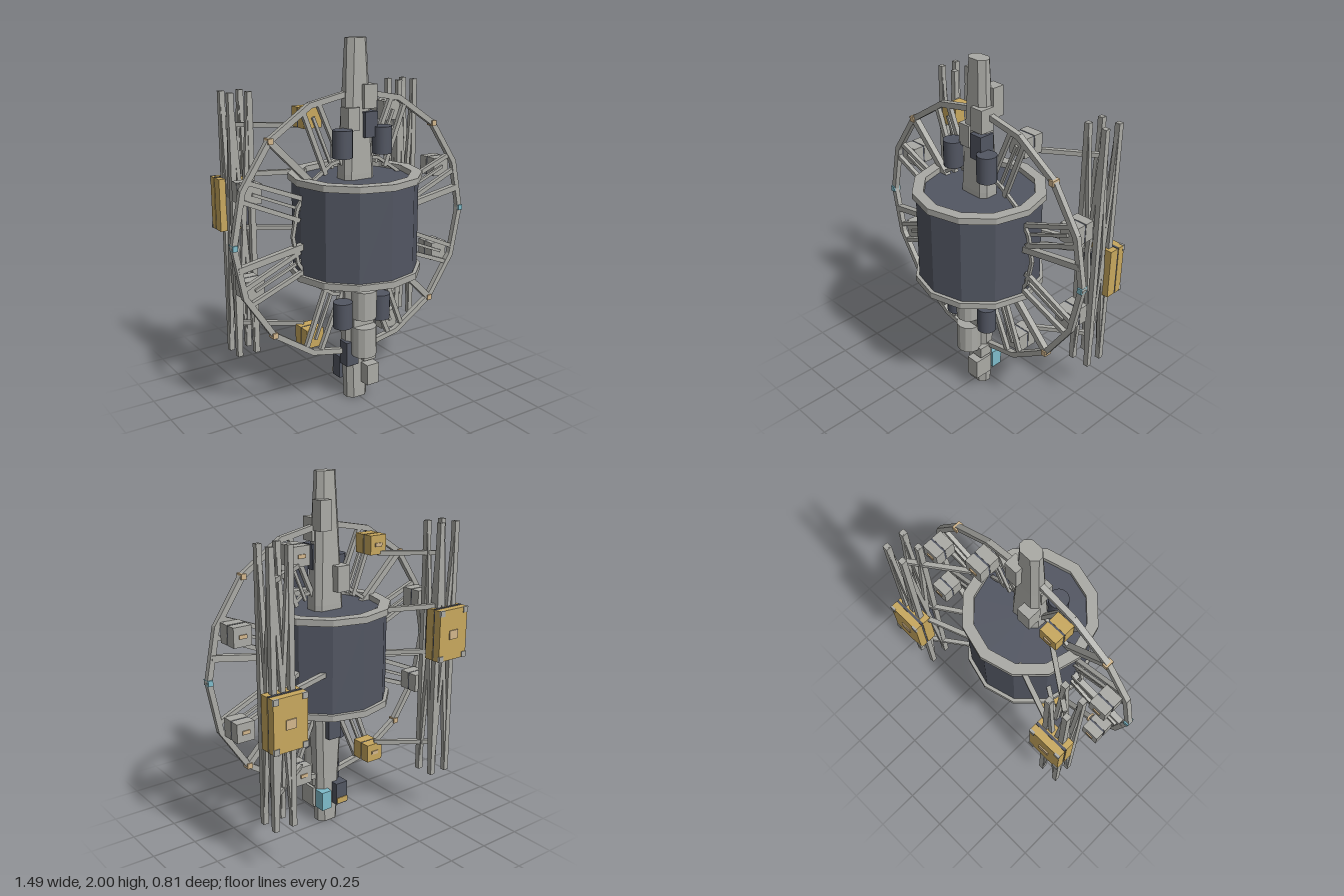
import * as THREE from 'three';

const mat = (name, color) => Object.assign(new THREE.MeshStandardMaterial({ color }), { name });
const grey = mat('light grey', 0xaaaaa5);
const dark = mat('slate', 0x525662);
const gold = mat('gold foil', 0xc8a85e);
const blue = mat('pale blue', 0x7fbccb);
const tan = mat('tan', 0xd2b68c);
const ZC = 0.042; // depth of the main axis
const V = (x, y, z) => new THREE.Vector3(x, y, z);

export function createModel() {
  const model = new THREE.Group();
  model.name = 'spaceStation';

  const add = (name, geometry, material, parent = model) => {
    const mesh = new THREE.Mesh(geometry, material);
    mesh.name = name;
    parent.add(mesh);
    return mesh;
  };
  const flat = (geometry) => {
    const g = geometry.index ? geometry.toNonIndexed() : geometry;
    g.computeVertexNormals();
    return g;
  };
  // Box given by its limits on each axis
  const box = (name, material, x0, x1, y0, y1, z0, z1, parent = model) => {
    const m = add(name, new THREE.BoxGeometry(x1 - x0, y1 - y0, z1 - z0), material, parent);
    m.position.set((x0 + x1) / 2, (y0 + y1) / 2, (z0 + z1) / 2);
    return m;
  };
  // Square bar between two points
  const bar = (name, a, b, w, material = grey, parent = model) => {
    const dir = b.clone().sub(a);
    const length = dir.length();
    dir.normalize();
    const level = Math.abs(dir.y) < 0.01;
    const g = level ? new THREE.BoxGeometry(w, w, length) : new THREE.BoxGeometry(w, length, w);
    const m = add(name, g, material, parent);
    m.position.copy(a).lerp(b, 0.5);
    if (level) m.lookAt(b);
    else m.quaternion.setFromUnitVectors(V(0, 1, 0), dir);
    return m;
  };
  const polar = (r, deg, z = ZC) => {
    const t = THREE.MathUtils.degToRad(deg);
    return V(r * Math.cos(t), 1 + r * Math.sin(t), z);
  };

  // Twelve-sided drum with a raised rim at each end
  add('drum', flat(new THREE.CylinderGeometry(0.34, 0.34, 0.5, 12)), dark).position.set(0, 1.02, ZC);
  for (const [y0, y1] of [[0.75, 0.785], [1.265, 1.3]]) {
    const p = [[0.3, y0], [0.36, y0], [0.36, y1], [0.3, y1], [0.3, y0]];
    const rim = new THREE.LatheGeometry(p.map(([x, y]) => new THREE.Vector2(x, y)), 12);
    add('drumRim', flat(rim), grey).position.z = ZC;
  }

  // Tapered eight-sided column, chamfered at the corners
  const section = (y, w, d) => {
    const c = 0.028;
    return [[w, d - c], [w - c, d], [c - w, d], [-w, d - c], [-w, c - d], [c - w, -d], [w - c, -d], [w, c - d]]
      .map(([x, z]) => [x, y, z + ZC]);
  };
  const rings = [section(0, 0.065, 0.046), section(0.3, 0.076, 0.05), section(0.72, 0.092, 0.062),
    section(1.3, 0.092, 0.062), section(1.65, 0.076, 0.05), section(2, 0.06, 0.04)];
  const pos = [];
  for (let i = 0; i < rings.length - 1; i++) {
    for (let j = 0; j < 8; j++) {
      const k = (j + 1) % 8;
      const [a, b, c, d] = [rings[i][j], rings[i][k], rings[i + 1][k], rings[i + 1][j]];
      pos.push(...a, ...c, ...b, ...a, ...d, ...c);
    }
  }
  for (let j = 1; j < 7; j++) {
    const [lo, hi] = [rings[0], rings[5]];
    pos.push(...lo[0], ...lo[j], ...lo[j + 1], ...hi[0], ...hi[j + 1], ...hi[j]);
  }
  const column = new THREE.BufferGeometry();
  column.setAttribute('position', new THREE.Float32BufferAttribute(pos, 3));
  add('column', flat(column), grey);

  // Outer and inner rings, sixteen sides each
  for (let i = 0; i < 16; i++) {
    const a = i * 22.5;
    bar('outerRing', polar(0.73, a - 0.4), polar(0.73, a + 22.9), 0.03);
    bar('innerRing', polar(0.39, a - 0.4), polar(0.39, a + 22.9), 0.018);
  }
  for (const a of [10, 135, 190, 315]) bar('spoke', polar(0.33, a), polar(0.72, a), 0.034);
  for (const s of [-1, 1]) {
    box('ringTipLight', blue, s * 0.728 - 0.014, s * 0.728 + 0.014, 0.985, 1.015, ZC - 0.023, ZC + 0.023);
    for (const y of [0.484, 1.516]) {
      box('ringJoint', tan, s * 0.515 - 0.015, s * 0.515 + 0.015, y - 0.015, y + 0.015, ZC - 0.024, ZC + 0.024);
    }
  }

  // Equipment boxes on the ring, each held by a splayed pair of struts
  const equipment = (x, y, skin) => {
    const g = new THREE.Group();
    g.name = 'equipmentBox';
    g.position.set(x, y, 0);
    model.add(g);
    box('boxFront', skin, -0.052, 0.052, -0.052, 0.052, -0.036, 0.025, g);
    box('boxSeam', dark, -0.05, 0.05, -0.05, 0.05, -0.048, -0.034, g);
    box('boxBack', skin, -0.052, 0.052, -0.052, 0.052, -0.1, -0.046, g);
    box('boxPlate', tan, -0.022, 0.022, -0.01, 0.01, -0.106, -0.098, g);
    const angle = THREE.MathUtils.radToDeg(Math.atan2(y - 1, x));
    for (const s of [-1, 1]) {
      bar('boxStrut', polar(0.36, angle + s * 9), polar(0.71, angle + s * 4), 0.024);
    }
    bar('boxStay', polar(0.36, angle, 0.03), polar(0.66, angle, 0.03), 0.016);
  };
  for (const sx of [-1, 1]) {
    for (const sy of [-1, 1]) {
      equipment(sx * 0.605, 1 + sy * 0.253, grey);
      equipment(sx * 0.25, 1 + sy * 0.605, sx < 0 ? gold : grey);
      // Dark tanks beside the column
      const tank = add('tank', new THREE.CylinderGeometry(0.053, 0.053, 0.145, 18), dark);
      tank.position.set(sx * 0.125, sy > 0 ? 1.472 : 0.535, 0.11);
    }
  }

  // Lattice towers behind the drum, with one foil panel each
  for (const s of [-1, 1]) {
    const tower = new THREE.Group();
    tower.name = 'latticeTower';
    model.add(tower);
    const xs = [s * 0.482, s * 0.588], zs = [-0.228, -0.33], lo = 0.28, hi = 1.73;
    for (const x of xs) {
      for (const z of zs) box('towerPost', grey, x - 0.015, x + 0.015, lo, hi, z - 0.015, z + 0.015, tower);
      bar('towerBrace', V(x, lo, zs[0]), V(x, hi, zs[1]), 0.022, grey, tower);
      bar('towerBrace', V(x, lo, zs[1]), V(x, hi, zs[0]), 0.022, grey, tower);
    }
    for (const z of zs) {
      bar('towerBrace', V(xs[0], lo, z), V(xs[1], hi, z), 0.022, grey, tower);
      bar('towerBrace', V(xs[1], lo, z), V(xs[0], hi, z), 0.022, grey, tower);
    }
    for (const y of [0.45, 1.557]) bar('towerBoom', V(s * 0.26, y, -0.08), V(s * 0.54, y, -0.28), 0.024);
    bar('towerBoom', V(s * 0.27, 1, -0.1), V(s * 0.53, 1, -0.27), 0.024);

    const panel = new THREE.Group();
    panel.name = 'foilPanel';
    panel.position.set(s * 0.535, s < 0 ? 1.128 : 0.878, 0);
    model.add(panel);
    box('panelFront', gold, -0.1, 0.1, -0.143, 0.143, -0.35, -0.297, panel);
    box('panelSeam', dark, -0.097, 0.097, -0.146, 0.146, -0.362, -0.348, panel);
    box('panelBack', gold, -0.1, 0.1, -0.143, 0.143, -0.403, -0.36, panel);
    box('panelHousing', dark, -0.055, 0.055, -0.11, 0.12, -0.298, -0.245, panel);
    box('panelPlate', tan, -0.03, 0.03, -0.025, 0.025, -0.409, -0.402, panel);
    for (const x of [-0.085, 0.085]) {
      for (const y of [-0.128, 0.128]) {
        box('panelCorner', grey, x - 0.016, x + 0.016, y - 0.016, y + 0.016, -0.408, -0.395, panel);
      }
    }
    const y = s < 0 ? 1.28 : 1.0;
    bar('panelArm', V(s * 0.16, y, -0.2), V(s * 0.47, y, -0.315), 0.026);
  }

  // Units fixed to the column
  const units = [
    [grey, 0.01, 0.09, 1.64, 1.765, 0.03, 0.112], [grey, 0.015, 0.088, 1.7, 1.86, -0.04, 0.03],
    [grey, -0.085, -0.012, 1.53, 1.65, 0.03, 0.105], [dark, 0.012, 0.09, 1.49, 1.625, 0.03, 0.118],
    [grey, -0.09, -0.01, 1.37, 1.51, -0.06, 0.02], [dark, -0.04, 0.04, 0.53, 0.7, -0.05, 0.02],
    [dark, -0.093, -0.015, 0.21, 0.35, 0.03, 0.1], [grey, 0.01, 0.088, 0.09, 0.21, 0.04, 0.152],
    [grey, 0.01, 0.088, 0.225, 0.29, 0.04, 0.12], [blue, 0.02, 0.085, 0.1, 0.21, -0.045, 0.022],
    [dark, -0.09, -0.012, 0.11, 0.24, -0.05, 0.02], [gold, -0.088, -0.016, 0.118, 0.15, -0.055, -0.049],
  ];
  units.forEach(([m, ...limits]) => box('columnUnit', m, ...limits));
  for (const [y0, y1] of [[0.28, 0.45], [0.5, 0.66]]) {
    const g = flat(new THREE.CylinderGeometry(0.07, 0.07, y1 - y0, 12));
    add('columnCanister', g, grey).position.set(0, (y0 + y1) / 2, 0.13);
  }
  box('canisterLink', grey, -0.065, 0.065, 0.44, 0.52, 0.05, 0.13);

  return model;
}
